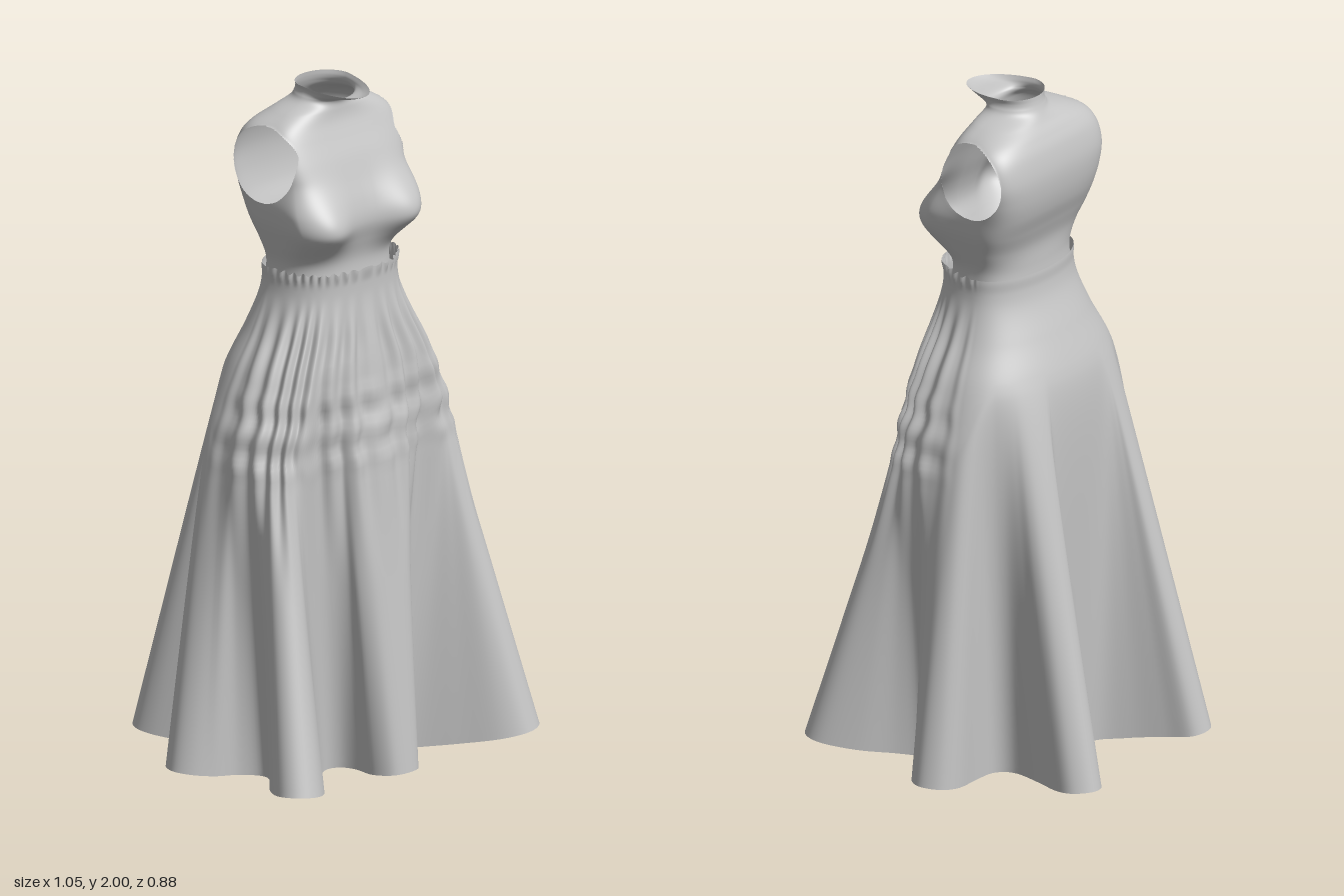
import * as THREE from 'three';

const ZC = 0.03; // depth of the body axis
const V = (x, y, z) => new THREE.Vector3(x, y, z);
const { smoothstep, lerp } = THREE.MathUtils;
const gauss = (d, s) => Math.exp(-(d * d) / (s * s));

// Rows of [y, halfWidth, frontZ, backZ, roundness] become a smooth sampler
function profile(rows) {
  const a = new THREE.CatmullRomCurve3(rows.map(r => V(r[0], r[1], r[2])), false, 'catmullrom');
  const b = new THREE.CatmullRomCurve3(rows.map(r => V(r[0], r[3], r[4])), false, 'catmullrom');
  return t => {
    const p = a.getPoint(t), q = b.getPoint(t);
    return { y: p.x, w: p.y, zf: p.z, zb: q.y, e: q.z };
  };
}

// Point on a rounded-box ring; angle 0 is the front, +90 degrees is +x.
// softBack makes the back half rounder than the front.
function ringPoint(k, a, softBack = 0) {
  const s = Math.sin(a), c = Math.cos(a);
  const e = k.e + softBack * (1 - c) / 2;
  const pw = v => Math.sign(v) * Math.pow(Math.abs(v), e);
  return V(k.w * pw(s), k.y, ZC + pw(c) * (c > 0 ? k.zf - ZC : ZC - k.zb));
}

// Closed loops stacked from bottom to top; cut(p) marks vertices inside a hole
function loft(rows, n, point, material, name, cut = () => false) {
  const pos = [], idx = [], inside = [];
  for (let j = 0; j <= rows; j++) {
    for (let i = 0; i < n; i++) {
      const p = point(i / n, j / rows);
      inside.push(cut(p));
      pos.push(p);
    }
  }
  const tri = (a, b, c) => {
    if (!(inside[a] && inside[b] && inside[c])) idx.push(a, b, c);
  };
  for (let j = 0; j < rows; j++) {
    for (let i = 0; i < n; i++) {
      const a = j * n + i, b = j * n + (i + 1) % n;
      tri(a, b, b + n);
      tri(a, b + n, a + n);
    }
  }
  const g = new THREE.BufferGeometry().setFromPoints(pos);
  g.setIndex(idx);
  g.computeVertexNormals();
  const mesh = new THREE.Mesh(g, material);
  mesh.name = name;
  return mesh;
}

// Sleeveless top with bust, armholes and a collar lip folded forward
function makeBodice(material) {
  const body = profile([
    [1.44, 0.19, 0.175, -0.075, 0.75],
    [1.50, 0.19, 0.172, -0.072, 0.75],
    [1.56, 0.208, 0.182, -0.075, 0.62],
    [1.62, 0.226, 0.19, -0.095, 0.52],
    [1.68, 0.235, 0.184, -0.118, 0.48],
    [1.74, 0.245, 0.168, -0.13, 0.44],
    [1.80, 0.252, 0.148, -0.131, 0.42],
    [1.86, 0.245, 0.122, -0.118, 0.45],
    [1.90, 0.222, 0.106, -0.098, 0.55],
    [1.93, 0.165, 0.1, -0.077, 0.78],
    [1.952, 0.105, 0.1, -0.064, 1],
    [1.97, 0.087, 0.115, -0.056, 1],
    [1.985, 0.083, 0.16, -0.052, 1],
    [2.0, 0.088, 0.192, -0.05, 1],
  ]);
  const point = (u, v) => {
    const a = u * Math.PI * 2;
    const p = ringPoint(body(v), a);
    const front = Math.max(0, Math.cos(a));
    // chest narrower than the back at arm height
    const arm = smoothstep(p.y, 1.66, 1.76) * (1 - smoothstep(p.y, 1.9, 1.95));
    p.x *= 1 - 0.1 * arm * smoothstep(p.z, -0.06, 0.12);
    // bust
    const dy = p.y - 1.615;
    const bump = gauss(dy, dy < 0 ? 0.068 : 0.095) * smoothstep(front, 0, 0.45);
    p.z += 0.062 * bump * (gauss(p.x - 0.15, 0.1) + gauss(p.x + 0.15, 0.1));
    p.x *= 1 + 0.06 * bump;
    // dip in the front of the collar
    p.y -= 0.014 * front * smoothstep(p.y, 1.95, 2.0);
    return p;
  };
  // armholes: vertices inside the oval are pulled onto its rim
  const cut = p => {
    if (Math.abs(p.x) < 0.12) return false;
    const cz = 0.015, cy = 1.793, rz = 0.115, ry = 0.112;
    const dz = (p.z - cz) / rz, dy = (p.y - cy) / ry, q = Math.hypot(dz, dy);
    if (q >= 1) return false;
    if (q > 0.5) {
      p.z = cz + dz / q * rz;
      p.y = cy + dy / q * ry;
    }
    return true;
  };
  return loft(120, 260, point, material, 'bodice', cut);
}

// Long skirt falling from a gathered waist into seven deep folds
function makeSkirt(material) {
  const half = [
    [0, 0.38], [0.05, 0.365], [0.075, 0.31], [0.066, 0.24], [0.085, 0.19],
    [0.13, 0.175], [0.19, 0.215], [0.27, 0.305], [0.35, 0.4], [0.42, 0.437],
    [0.478, 0.41], [0.487, 0.35], [0.43, 0.26], [0.35, 0.18], [0.31, 0.11],
    [0.36, 0.06], [0.44, 0.045], [0.5, 0.01], [0.525, -0.04], [0.5, -0.095],
    [0.44, -0.115], [0.34, -0.1], [0.26, -0.1], [0.225, -0.15], [0.25, -0.25],
    [0.285, -0.34], [0.285, -0.4], [0.24, -0.442], [0.185, -0.425], [0.16, -0.35],
    [0.135, -0.26], [0.09, -0.19], [0, -0.165],
  ];
  // the right back fold swings a little further out
  const right = half.slice(1, -1).reverse().map(([x, z]) => [-x - 0.05 * smoothstep(-z, 0.12, 0.4), z]);
  const hem = new THREE.CatmullRomCurve3(half.concat(right).map(([x, z]) => V(x, 0, z)), true, 'catmullrom');
  const hips = profile([
    [0.9, 0.388, 0.262, -0.243, 0.62],
    [1.0, 0.373, 0.258, -0.228, 0.63],
    [1.1, 0.341, 0.25, -0.207, 0.66],
    [1.2, 0.302, 0.237, -0.18, 0.7],
    [1.3, 0.25, 0.22, -0.142, 0.74],
    [1.4, 0.212, 0.207, -0.103, 0.75],
    [1.482, 0.202, 0.206, -0.09, 0.75],
  ]);
  const ring = (t, a) => ringPoint(hips(t), a, 0.2);
  const split = 0.6; // share of the rows in the falling folds
  const point = (u, v) => {
    const h = hem.getPoint(u);
    const side = u <= 0.5 ? 1 : -1;
    const even = Math.PI * 2 * Math.min(u, 1 - u);
    const a = side * (even + Math.atan2(Math.abs(h.x), h.z - ZC)) / 2;
    const turn = Math.abs(a);
    // height where the folds begin: high at the back and centre front
    const start = 0.98 + 0.22 * smoothstep(turn, 1.65, 2.2) + 0.24 * (1 - smoothstep(turn, 0.5, 0.85));
    const t0 = (start - 0.9) / 0.6;
    const p = ring(lerp(t0, 1, Math.max(0, (v - split) / (1 - split))), a);
    if (v < split) {
      // leave the hips along their slope, then run straight to the hem
      h.y = Math.max(0, 0.17 * (h.x * h.x + h.z * h.z) - 0.012);
      const t = 1 - v / split, k = 0.1;
      const slope = p.clone().sub(ring(t0 + 0.08, a));
      slope.multiplyScalar(p.y / -slope.y);
      const fall = h.sub(p);
      p.addScaledVector(fall, t * t * (1 + k) / (t + k));
      p.addScaledVector(slope, t * (1 - t) * k / (t + k));
    }
    // gathers around the front, rippled in a band below the hips
    const y = p.y;
    const front = 1 - smoothstep(turn, 1.4, 1.8);
    const pleat = smoothstep(y, 0.55, 1.0) * (1 - smoothstep(y, 1.25, 1.42));
    const band = smoothstep(y, 0.88, 0.97) * (1 - smoothstep(y, 1.08, 1.2));
    const wave = Math.cos(a * 30 + Math.sin(a * 7) + 0.5 * Math.sin(y * 40) * band);
    let out = front * (0.009 * pleat * wave + 0.004 * band * Math.cos((y - 1.03) * 62));
    // crinkled upper edge
    const top = smoothstep(y, 1.44, 1.482);
    out += top * (0.004 + 0.004 * front * Math.cos(a * 44));
    p.x += Math.sin(a) * out;
    p.z += Math.cos(a) * out;
    p.y += top * 0.005 * front * Math.cos(a * 37);
    return p;
  };
  return loft(100, 384, point, material, 'skirt');
}

export function createModel() {
  const cloth = new THREE.MeshStandardMaterial({ color: 0xc4c4c4, side: THREE.DoubleSide });
  cloth.name = 'grey cloth';
  const dress = new THREE.Group();
  dress.name = 'dress';
  dress.add(makeBodice(cloth), makeSkirt(cloth));
  return dress;
}
